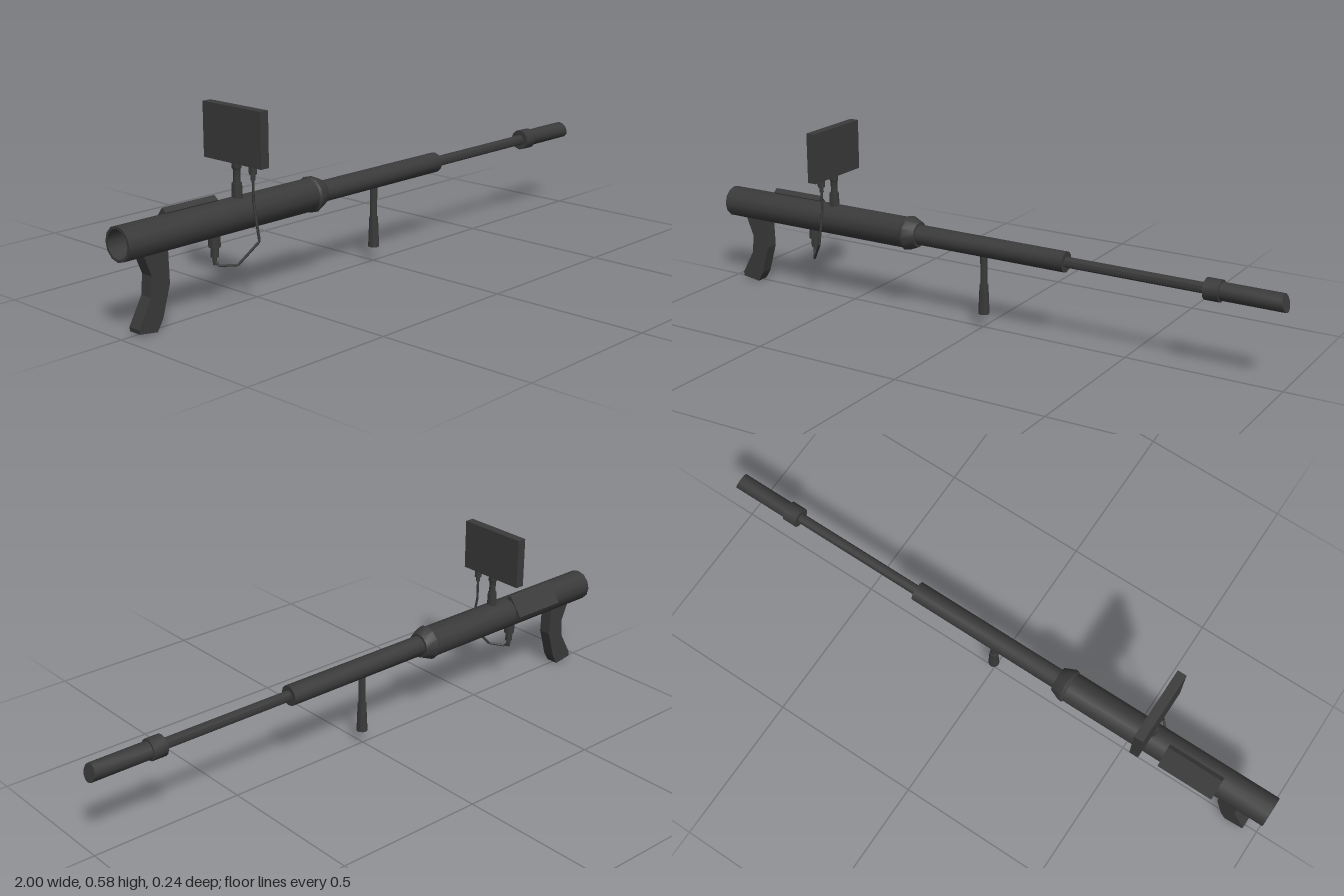
import * as THREE from 'three';
import { toCreasedNormals } from 'three/addons/utils/BufferGeometryUtils.js';

const AXIS_Y = 0.27;

export function createModel() {
  const model = new THREE.Group();
  const mat = new THREE.MeshStandardMaterial({ color: 0x3a3a3a });

  const add = (name, geo, x = 0, y = 0, z = 0) => {
    const mesh = new THREE.Mesh(geo, mat);
    mesh.name = name;
    mesh.position.set(x, y, z);
    model.add(mesh);
    return mesh;
  };
  // Turned part from [radius, height] points, listed bottom to top
  const turned = (points, sides = 12) =>
    toCreasedNormals(new THREE.LatheGeometry(points.map(p => new THREE.Vector2(...p)), sides), 0.6);
  // Same, laid along +x on the barrel axis
  const along = (name, points) => add(name, turned(points).rotateZ(-Math.PI / 2), 0, AXIS_Y);

  // Rear body, hollow at the back, with the flared collar at its front
  along('rearTube', [[0, -0.9], [0.043, -0.9], [0.043, -1], [0.051, -1], [0.051, -0.285]]);
  along('collar', [[0.051, -0.285], [0.056, -0.28], [0.056, -0.272], [0.041, -0.237], [0.033, -0.237]]);
  along('frontTube', [[0.033, -0.24], [0.033, 0.295], [0.016, 0.295]]);
  along('barrel', [[0.017, 0.29], [0.017, 0.76]]);
  along('muzzleCollar', [[0.017, 0.752], [0.034, 0.752], [0.034, 0.8], [0.027, 0.8]]);

  // Muzzle with a slightly slanted end
  const muzzle = new THREE.CylinderGeometry(0.028, 0.028, 0.2, 12).rotateZ(-Math.PI / 2);
  const pos = muzzle.attributes.position;
  for (let i = 0; i < pos.count; i++) {
    if (pos.getX(i) > 0) pos.setX(i, 0.107 - 0.25 * (pos.getY(i) + 0.028));
  }
  muzzle.computeVertexNormals();
  add('muzzle', toCreasedNormals(muzzle, 0.6), 0.893, AXIS_Y);

  // Cover plate lying tilted on the upper back side
  const plate = add('coverPlate', new THREE.BoxGeometry(0.19, 0.02, 0.08),
    -0.735, AXIS_Y + 0.61 * 0.044, -0.79 * 0.044);
  plate.rotation.x = -Math.atan2(0.79, 0.61);

  // Bent rear grip
  const grip = new THREE.Shape([
    [-0.935, 0.235], [-0.907, 0.165], [-0.912, 0.105], [-0.957, 0.024], [-0.955, 0.011],
    [-0.893, 0.002], [-0.873, 0.035], [-0.845, 0.13], [-0.848, 0.235],
  ].map(p => new THREE.Vector2(...p)));
  add('rearGrip', new THREE.ExtrudeGeometry(grip, { depth: 0.042, bevelEnabled: false }), 0, 0, -0.018);

  // Front hand grip on its stem
  add('frontGrip', turned([[0, 0.048], [0.018, 0.048], [0.014, 0.145], [0.011, 0.145], [0.012, 0.245]]), 0.003);

  // Display and its post
  add('display', new THREE.BoxGeometry(0.03, 0.164, 0.24), -0.572, 0.502, 0);
  add('displayPost', turned([
    [0.017, 0.3], [0.015, 0.362], [0.011, 0.362], [0.011, 0.4], [0.014, 0.405], [0.014, 0.425],
  ]), -0.572, 0, 0.002);

  // Cable with a plug at each end
  add('upperPlug', turned([[0, 0.38], [0.007, 0.38], [0.007, 0.397], [0.012, 0.397], [0.012, 0.425]]),
    -0.572, 0, 0.07);
  add('lowerPlug', turned([
    [0, 0.137], [0.006, 0.137], [0.007, 0.16], [0.012, 0.16], [0.012, 0.19], [0.018, 0.19], [0.018, 0.23],
  ]), -0.66);
  const route = [
    [-0.572, 0.385, 0.07], [-0.572, 0.317, 0.07], [-0.572, 0.205, 0.092],
    [-0.622, 0.139, 0.055], [-0.655, 0.135, 0.012], [-0.66, 0.15, 0],
  ].map(p => new THREE.Vector3(...p));
  const path = new THREE.CurvePath();
  for (let i = 1; i < route.length; i++) path.add(new THREE.LineCurve3(route[i - 1], route[i]));
  add('cable', new THREE.TubeGeometry(path, 60, 0.004, 6));

  return model;
}
